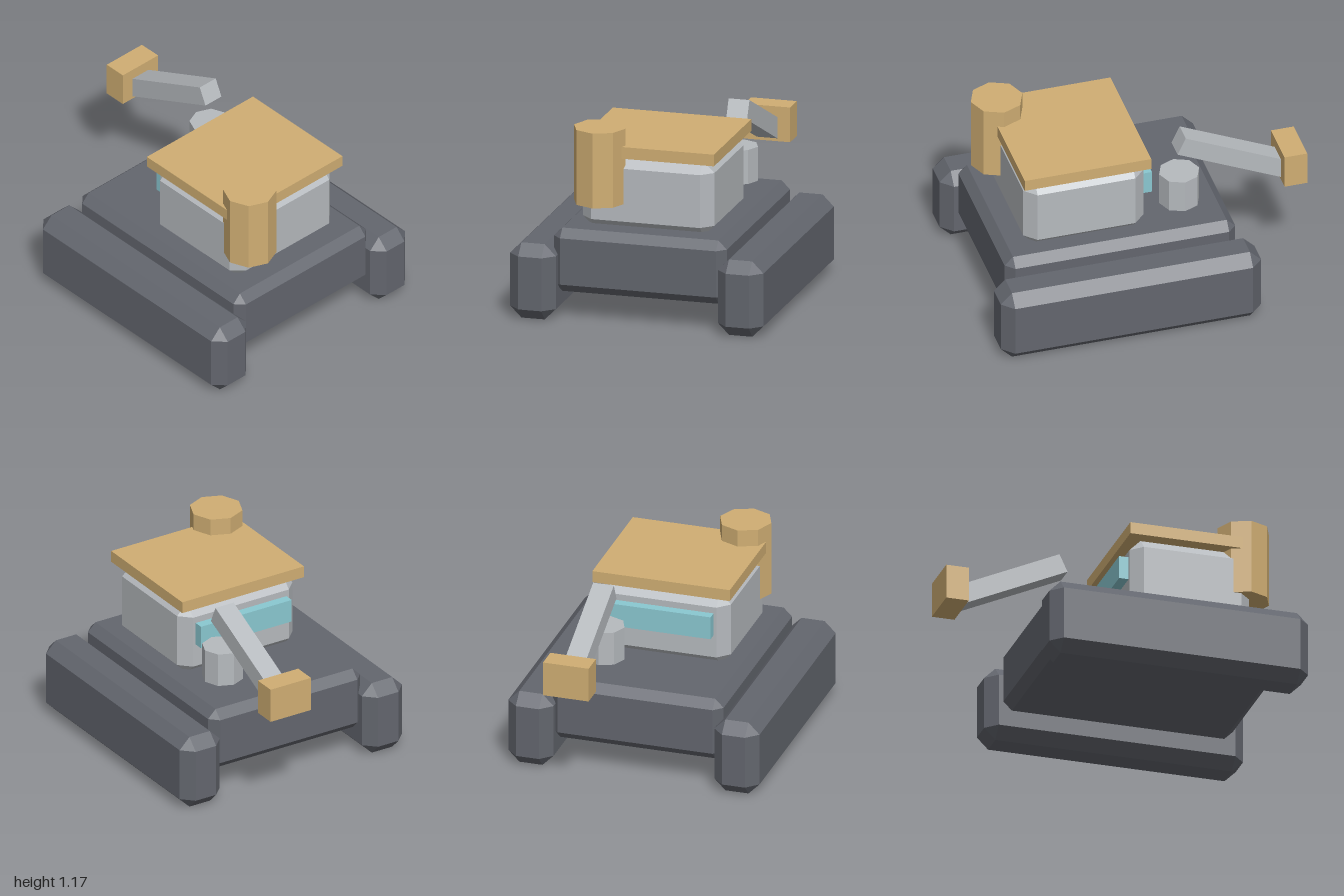
import * as THREE from 'three';
import { ConvexGeometry } from 'three/addons/geometries/ConvexGeometry.js';

const material = (name, color) => {
  const m = new THREE.MeshStandardMaterial({ color });
  m.name = name;
  return m;
};

// Box with flat 45 degree bevels on all edges and triangular corners
function bevelBox(w, h, d, bevel) {
  const points = [];
  for (const x of [-1, 1]) for (const y of [-1, 1]) for (const z of [-1, 1]) {
    for (let face = 0; face < 3; face++) {
      const inset = [0, 1, 2].map((axis) => (axis === face ? 0 : bevel));
      points.push(new THREE.Vector3(
        x * (w / 2 - inset[0]), y * (h / 2 - inset[1]), z * (d / 2 - inset[2])));
    }
  }
  return new ConvexGeometry(points);
}

// Eight-sided upright post with flat faces
function post(radius, height) {
  return new THREE.CylinderGeometry(radius, radius, height, 8).toNonIndexed();
}

export function createModel() {
  const model = new THREE.Group();
  model.name = 'trackedVehicle';

  const dark = material('dark grey', 0x63666e);
  const grey = material('light grey', 0xb6babe);
  const tan = material('tan', 0xd0ae73);
  const glass = material('pale teal', 0x8ac8d1);

  const add = (name, geometry, mat, x, y, z) => {
    const mesh = new THREE.Mesh(geometry, mat);
    mesh.name = name;
    mesh.position.set(x, y, z);
    model.add(mesh);
    if (!(geometry instanceof ConvexGeometry)) geometry.computeVertexNormals();
    return mesh;
  };

  // Running gear and hull
  for (const side of [-1, 1]) {
    add(side > 0 ? 'leftTrack' : 'rightTrack',
      bevelBox(0.285, 0.47, 1.625, 0.07), dark, side * 0.648, 0.235, 0.1875);
  }
  add('hull', bevelBox(1.08, 0.395, 1.44, 0.053), dark, 0, 0.3625, 0.1875);

  // Cabin with roof slab and rear window
  add('cabin', bevelBox(0.82, 0.47, 0.75, 0.07), grey, 0, 0.76, 0.373);
  add('roof', new THREE.BoxGeometry(0.865, 0.073, 0.79), tan, 0, 1.029, 0.37);
  add('rearWindow', new THREE.BoxGeometry(0.645, 0.145, 0.07), glass, 0, 0.8125, -0.026);

  // Exhaust stack at the front right corner
  add('exhaustStack', post(0.161, 0.467), tan, -0.29, 0.938, 0.728);

  // Rear arm, its pedestal and the end block
  add('armPedestal', post(0.125, 0.212), grey, 0.285, 0.724, -0.242);
  const arm = add('arm', new THREE.BoxGeometry(0.13, 0.12, 0.74), grey, 0.285, 0.9, -0.575);
  arm.rotation.x = -0.433;
  add('armEndBlock', new THREE.BoxGeometry(0.287, 0.217, 0.142), tan, 0.285, 0.794, -0.929);

  return model;
}
